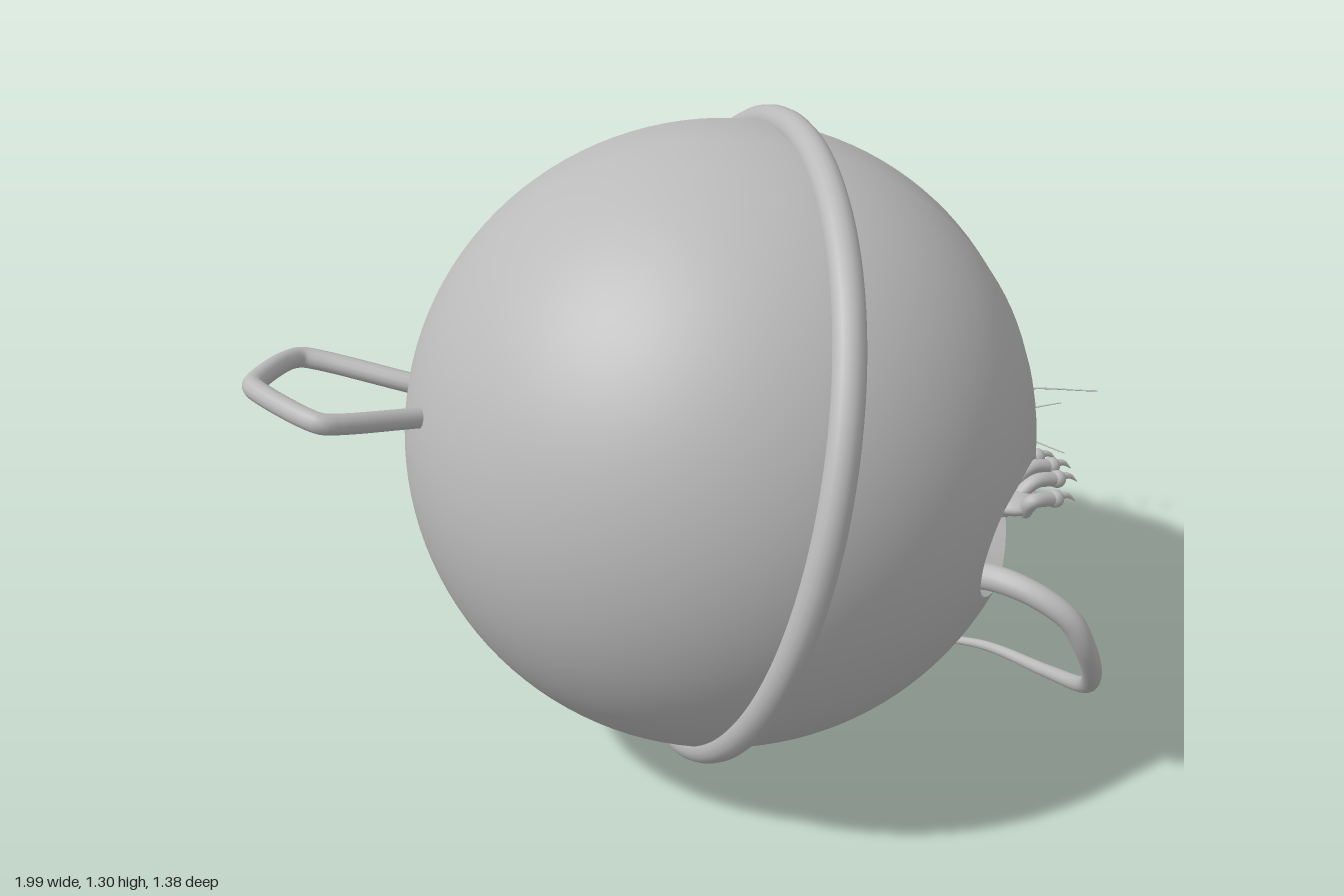
import * as THREE from 'three';

const V = (x, y, z) => new THREE.Vector3(x, y, z);
const grey = new THREE.MeshStandardMaterial({ color: 0xbababa, side: THREE.DoubleSide });
grey.name = 'plain grey';

const BALL = V(-0.12, 0.672, 0.025);
const R = 0.622;

function add(group, name, geometry, position) {
  const mesh = new THREE.Mesh(geometry, grey);
  mesh.name = name;
  if (position) mesh.position.copy(position);
  group.add(mesh);
  return mesh;
}

// Surface made of closed rings: point(i, j) gives ring i, corner j
function ringSurface(rings, corners, point) {
  const pos = [], index = [];
  for (let i = 0; i < rings; i++) {
    for (let j = 0; j < corners; j++) {
      pos.push(...point(i, j).toArray());
      if (i === rings - 1) continue;
      const a = i * corners + j, b = i * corners + (j + 1) % corners;
      index.push(a, b, a + corners, b, b + corners, a + corners);
    }
  }
  const geo = new THREE.BufferGeometry();
  geo.setAttribute('position', new THREE.Float32BufferAttribute(pos, 3));
  geo.setIndex(index);
  geo.computeVertexNormals();
  return geo;
}

// Tube through points, with the radius running from r0 to r1
function taperedTube(points, r0, r1, segments = 24, sides = 12) {
  const curve = new THREE.CatmullRomCurve3(points.map(p => V(...p)));
  const geo = new THREE.TubeGeometry(curve, segments, r0, sides);
  const pos = geo.attributes.position, v = V(0, 0, 0);
  for (let i = 0; i <= segments; i++) {
    const c = curve.getPointAt(i / segments);
    const k = 1 + (r1 / r0 - 1) * i / segments;
    for (let j = 0; j <= sides; j++) {
      const n = i * (sides + 1) + j;
      v.fromBufferAttribute(pos, n).sub(c).multiplyScalar(k).add(c);
      pos.setXYZ(n, v.x, v.y, v.z);
    }
  }
  return geo;
}

// Point on the ball's +x side at a given z and y
function onBall(z, y) {
  const dy = y - BALL.y, dz = z - BALL.z;
  return V(Math.sqrt(R * R - dy * dy - dz * dz), dy, dz);
}

function buildBall(group) {
  // Outline of the opening as z, y pairs
  const outline = [[0.6, 0.6], [0.58, 0.68], [0.52, 0.705], [0.46, 0.69], [0.38, 0.63], [0.3, 0.598],
    [0.1, 0.58], [0, 0.6], [-0.1, 0.59], [-0.18, 0.5], [-0.1, 0.42], [0, 0.44], [0.1, 0.455],
    [0.2, 0.465], [0.3, 0.455], [0.35, 0.44], [0.4, 0.43], [0.5, 0.445], [0.57, 0.5]];
  const curve = new THREE.CatmullRomCurve3(outline.map(([z, y]) => V(0, y, z)), true);
  const N = 128;
  const edge = Array.from({ length: N }, (_, j) => {
    const p = curve.getPoint(j / N);
    return onBall(p.z, p.y);
  });
  const holeDir = onBall(0.3, 0.53).normalize();
  const back = holeDir.clone().negate();

  // Shell sweeps from the opening's edge round to the opposite pole
  const steps = 56;
  const shell = ringSurface(steps + 1, N, (i, j) => {
    const p = edge[j].clone().normalize();
    const angle = p.angleTo(back), t = i / steps;
    return p.multiplyScalar(Math.sin((1 - t) * angle))
      .addScaledVector(back, Math.sin(t * angle)).normalize().multiplyScalar(R);
  });
  const pos = shell.attributes.position, v = V(0, 0, 0);
  for (let i = 0; i < pos.count; i++) {
    v.fromBufferAttribute(pos, i).normalize();
    shell.attributes.normal.setXYZ(i, v.x, v.y, v.z);
  }
  add(group, 'ballShell', shell, BALL);
  add(group, 'openingRim', ringSurface(2, N, (i, j) => edge[j].clone().multiplyScalar(i ? 1 : 0.92)), BALL);

  // Faceted lining, left open around the hole
  const ico = new THREE.IcosahedronGeometry(0.57, 1).attributes.position;
  const kept = [];
  for (let i = 0; i < ico.count; i += 3) {
    const tri = [0, 2, 1].map(k => V(0, 0, 0).fromBufferAttribute(ico, i + k));
    const mid = V(0, 0, 0).add(tri[0]).add(tri[1]).add(tri[2]).normalize();
    if (mid.dot(holeDir) < 0.62) tri.forEach(p => kept.push(p.x, p.y, p.z));
  }
  const lining = new THREE.BufferGeometry();
  lining.setAttribute('position', new THREE.Float32BufferAttribute(kept, 3));
  lining.computeVertexNormals();
  add(group, 'innerLining', lining, BALL);

  // Tilted seam band
  const band = add(group, 'seamBand', new THREE.TorusGeometry(0.622, 0.031, 16, 120), BALL);
  band.quaternion.setFromUnitVectors(V(0, 0, 1), V(1, -0.27, 0.27).normalize());

  // Bent wire handle
  const path = [[-0.66, -0.22], [-0.69, -0.245], [-0.8, -0.338], [-0.835, -0.355], [-0.87, -0.335],
    [-0.955, -0.235], [-0.975, -0.2], [-0.97, -0.16], [-0.93, -0.05], [-0.91, -0.022], [-0.88, -0.02], [-0.72, -0.05]];
  add(group, 'handle', taperedTube(path.map(([x, z]) => [x, 0.83 - (x + 0.73) * 0.26, z]), 0.02, 0.02, 80));
}

function buildHead(group) {
  const along = V(0.69, -0.45, -0.56).normalize();
  const side = along.clone().cross(V(0, 1, 0)).normalize();
  const up = side.clone().cross(along);

  // Neck to snout: centre, half width, half height
  const stations = [[0.28, 0.5, 0.16, 0.06, 0.06], [0.36, 0.515, 0.03, 0.1, 0.1], [0.43, 0.5, -0.1, 0.135, 0.14],
    [0.52, 0.46, -0.2, 0.15, 0.168], [0.6, 0.415, -0.27, 0.148, 0.165], [0.67, 0.357, -0.328, 0.105, 0.122],
    [0.735, 0.307, -0.38, 0.058, 0.068], [0.775, 0.289, -0.41, 0.03, 0.035], [0.79, 0.288, -0.42, 0.004, 0.004]];
  const centres = new THREE.CatmullRomCurve3(stations.map(s => V(s[0], s[1], s[2])), false, 'catmullrom');
  const sizes = new THREE.CatmullRomCurve3(stations.map(s => V(s[3], s[4], 0)), false, 'catmullrom');
  add(group, 'head', ringSurface(49, 40, (i, j) => {
    const a = -j / 40 * Math.PI * 2, s = sizes.getPoint(i / 48);
    return centres.getPoint(i / 48).addScaledVector(side, Math.cos(a) * s.x).addScaledVector(up, Math.sin(a) * s.y);
  }));

  add(group, 'nose', new THREE.SphereGeometry(0.025, 20, 14), V(0.787, 0.302, -0.42));
  const jaw = add(group, 'lowerJaw', new THREE.SphereGeometry(1, 20, 14), V(0.738, 0.256, -0.392));
  jaw.scale.set(0.035, 0.018, 0.05);
  jaw.quaternion.setFromUnitVectors(V(0, 0, 1), V(0.69, -0.1, -0.56).normalize());

  // Eyes
  for (const [name, p] of [['leftEye', V(0.667, 0.457, -0.158)], ['rightEye', V(0.52, 0.46, -0.365)]]) {
    const eye = add(group, name, new THREE.SphereGeometry(0.031, 20, 14), p);
    eye.scale.set(0.9, 1.1, 0.9);
  }

  // Cupped ears: the front half of a ball is pushed back into the rear half
  const ears = [['leftEar', V(0.55, 0.565, -0.1), V(0.655, 0.69, -0.035), V(0.72, -0.6, -0.02), 0.055],
    ['rightEar', V(0.465, 0.59, -0.265), V(0.5, 0.765, -0.325), V(0.5, -0.2, -0.8), 0.046]];
  for (const [name, base, tip, facing, halfWidth] of ears) {
    const geo = new THREE.SphereGeometry(1, 28, 20).rotateX(Math.PI / 2);
    const p = geo.attributes.position;
    for (let i = 0; i < p.count; i++) {
      const z = p.getZ(i), y = p.getY(i);
      p.setXYZ(i, p.getX(i) * halfWidth * (1 - 0.2 * Math.max(0, -y)), y * base.distanceTo(tip) / 2,
        z > 0 ? -0.012 * z : 0.026 * z);
    }
    geo.computeVertexNormals();
    const yAxis = tip.clone().sub(base).normalize();
    const xAxis = yAxis.clone().cross(facing).normalize();
    const ear = add(group, name, geo, base.clone().add(tip).multiplyScalar(0.5));
    ear.quaternion.setFromRotationMatrix(new THREE.Matrix4().makeBasis(xAxis, yAxis, xAxis.clone().cross(yAxis)));
  }

  // Whiskers: root on either cheek, middle, tip
  const left = [0.76, 0.31, -0.36], right = [0.73, 0.31, -0.42];
  const whiskers = [[left, [0.85, 0.4, -0.26], [0.998, 0.42, -0.12]], [left, [0.84, 0.34, -0.27], [0.93, 0.385, -0.17]],
    [left, [0.82, 0.31, -0.24], [0.88, 0.3, -0.085]], [left, [0.82, 0.27, -0.3], [0.85, 0.21, -0.21]],
    [right, [0.75, 0.42, -0.54], [0.66, 0.54, -0.69]], [right, [0.69, 0.38, -0.53], [0.55, 0.44, -0.64]],
    [right, [0.68, 0.36, -0.5], [0.575, 0.32, -0.58]], [right, [0.73, 0.34, -0.54], [0.75, 0.43, -0.62]]];
  whiskers.forEach((w, i) => add(group, `whisker${i + 1}`, taperedTube(w, 0.003, 0.0015, 14, 5)));
}

function buildLimbs(group) {
  // Forearm and paw resting on the lip of the opening
  add(group, 'forearm', taperedTube([[0.24, 0.46, 0.2], [0.33, 0.455, 0.25], [0.43, 0.485, 0.27]], 0.045, 0.035));
  const palm = add(group, 'paw', new THREE.SphereGeometry(1, 24, 16), V(0.42, 0.485, 0.27));
  palm.scale.set(0.06, 0.026, 0.075);
  const fingers = [[0.2, 0.515, 0.55], [0.255, 0.52, 0.545], [0.3, 0.515, 0.525], [0.35, 0.505, 0.48]];
  fingers.forEach(([z, y, x], i) => {
    const root = 0.27 + (z - 0.27) * 0.7;
    add(group, `finger${i + 1}`, taperedTube([[0.42, y - 0.03, root], [x - 0.06, y + 0.005, z], [x, y - 0.005, z]], 0.016, 0.015));
    add(group, `fingertip${i + 1}`, new THREE.SphereGeometry(0.019, 14, 10), V(x, y - 0.005, z));
    add(group, `claw${i + 1}`, taperedTube([[x, y, z], [x + 0.03, y - 0.005, z + 0.002], [x + 0.05, y - 0.022, z + 0.005]], 0.012, 0.001, 10, 8));
  });

  // Tail hangs out of the opening and curls underneath
  const tail = [[0.17, 0.43, 0.4], [0.17, 0.475, 0.46], [0.195, 0.495, 0.54], [0.235, 0.48, 0.61], [0.275, 0.44, 0.655],
    [0.31, 0.37, 0.665], [0.36, 0.28, 0.635], [0.42, 0.18, 0.55], [0.45, 0.115, 0.4], [0.44, 0.07, 0.2], [0.4, 0.008, 0.02]];
  add(group, 'tail', taperedTube(tail, 0.029, 0.007, 72, 14));
}

export function createModel() {
  const model = new THREE.Group();
  model.name = 'mouseInBall';
  for (const [name, build] of [['ball', buildBall], ['mouseHead', buildHead], ['mouseLimbs', buildLimbs]]) {
    const group = new THREE.Group();
    group.name = name;
    build(group);
    model.add(group);
  }
  return model;
}
